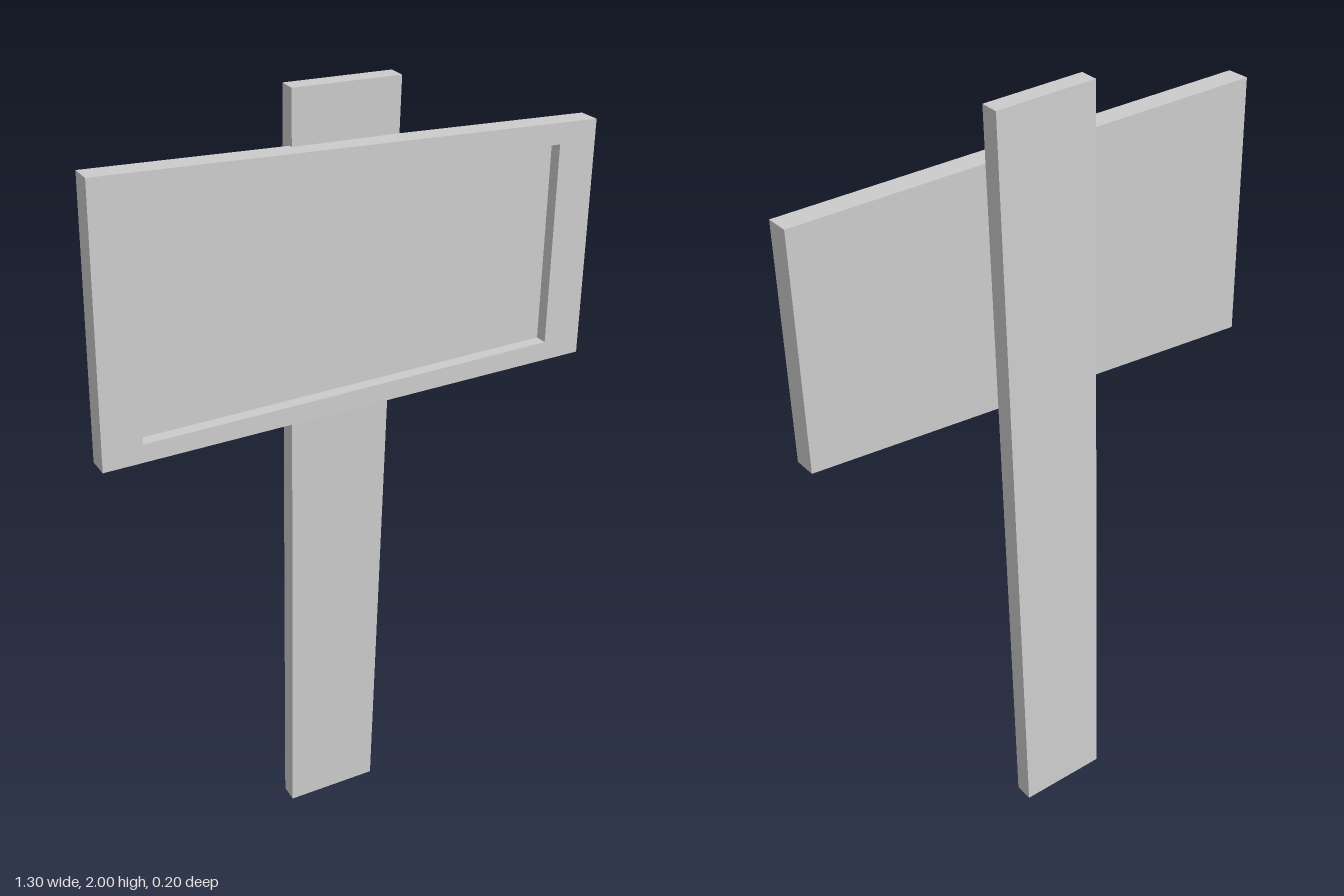
import * as THREE from 'three';

const material = new THREE.MeshStandardMaterial({ color: 0xcccccc, flatShading: true });

// Crooked panel outline and the recess set into its face
const OUTLINE = [[-0.65, 1.19], [0.634, 1.24], [0.646, 1.845], [-0.64, 1.88]];
const RECESS = [[-0.55, 1.24], [0.535, 1.285], [0.545, 1.795], [-0.54, 1.825]];
const THICKNESS = 0.062;
const RECESS_DEPTH = 0.035;

const toPoints = (list) => list.map(([x, y]) => new THREE.Vector2(x, y));

function slab(name, shape, z, depth) {
  const geometry = new THREE.ExtrudeGeometry(shape, { depth, bevelEnabled: false });
  geometry.translate(0, 0, z);
  const mesh = new THREE.Mesh(geometry, material);
  mesh.name = name;
  return mesh;
}

// Leaning plank: a box whose corners are moved to a skewed, tapering form
function createPost() {
  const geometry = new THREE.BoxGeometry(1, 1, 1);
  const p = geometry.attributes.position;
  for (let i = 0; i < p.count; i++) {
    const top = p.getY(i) > 0;
    const right = p.getX(i) > 0;
    const front = p.getZ(i) > 0;
    const x = right ? (top ? 0.142 : 0.107) : -0.14;
    const y = top ? (right ? 1.995 : 2) : (right ? 0.002 : 0);
    const backZ = top ? (right ? -0.039 : -0.018) : (right ? -0.099 : -0.082);
    p.setXYZ(i, x, y, backZ + (front ? 0.052 : 0));
  }
  geometry.computeVertexNormals();
  const mesh = new THREE.Mesh(geometry, material);
  mesh.name = 'post';
  return mesh;
}

// Sign board: solid backing with a raised frame around the recess
function createBoard() {
  const board = new THREE.Group();
  board.name = 'signBoard';
  const frameShape = new THREE.Shape(toPoints(OUTLINE));
  frameShape.holes.push(new THREE.Path(toPoints(RECESS)));
  const backDepth = THICKNESS - RECESS_DEPTH;
  board.add(
    slab('boardBacking', new THREE.Shape(toPoints(OUTLINE)), 0, backDepth),
    slab('boardFrame', frameShape, backDepth, RECESS_DEPTH)
  );
  board.position.z = 0.0135;
  board.rotation.y = 0.0335;
  return board;
}

export function createModel() {
  const model = new THREE.Group();
  model.name = 'signpost';
  model.add(createPost(), createBoard());
  return model;
}
